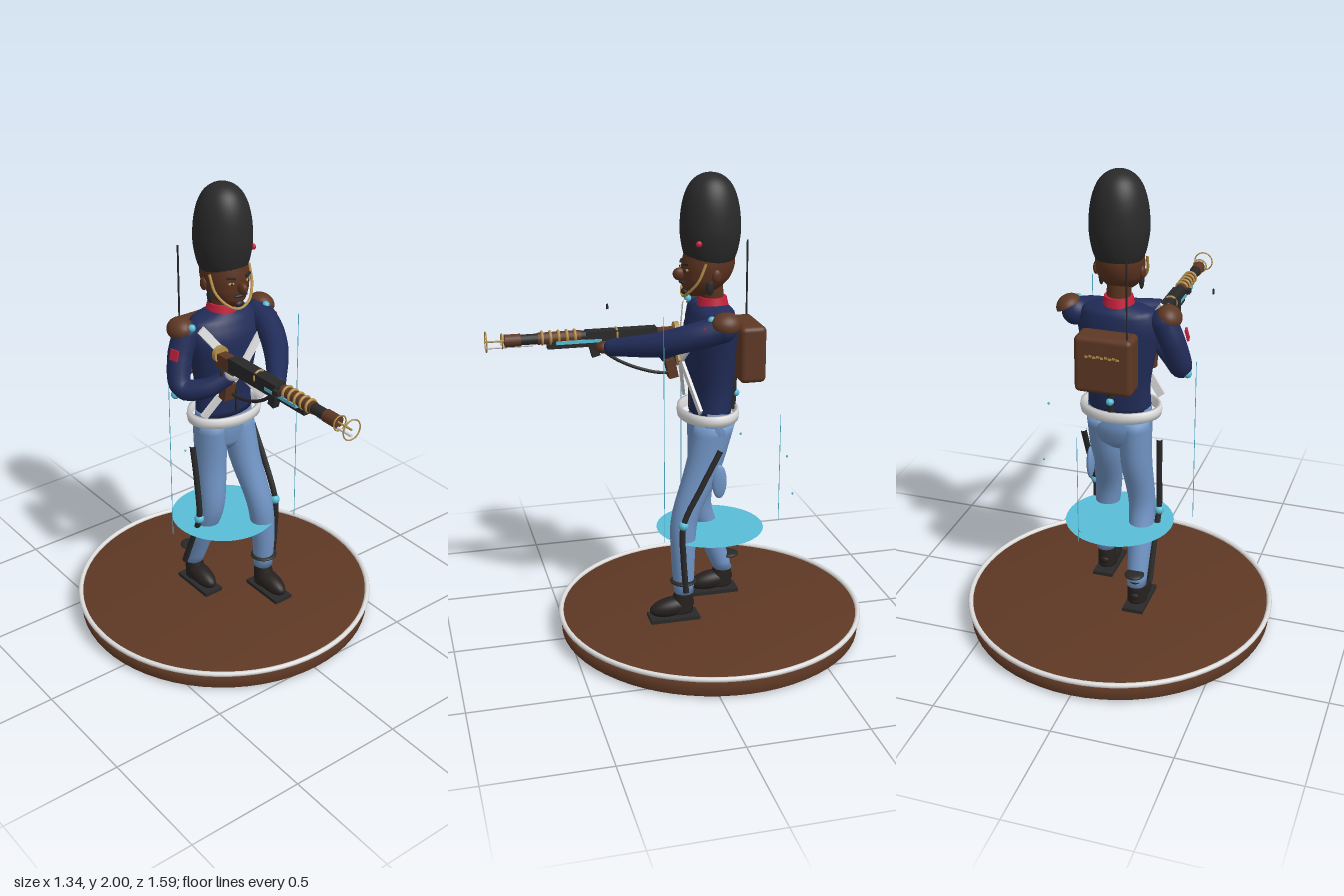
import * as THREE from 'three';
import { mergeVertices } from 'three/addons/utils/BufferGeometryUtils.js';
import { RoundedBoxGeometry } from 'three/addons/geometries/RoundedBoxGeometry.js';

const V = (p) => new THREE.Vector3(...p);

export function createModel() {
  const model = new THREE.Group();
  const mat = (name, color, side = THREE.FrontSide) => {
    const m = new THREE.MeshStandardMaterial({ color, side });
    m.name = name;
    return m;
  };
  const brown = mat('brown leather', 0x5e3824, THREE.DoubleSide);
  const skin = mat('skin', 0x5a321f);
  const black = mat('black', 0x292929);
  const dark = mat('dark boot', 0x26211f);
  const navy = mat('navy', 0x212c58);
  const blue = mat('trouser blue', 0x7094c4);
  const white = mat('white', 0xdedede);
  const red = mat('red', 0xc4203c);
  const gold = mat('gold', 0xb4914c);
  const cyan = mat('cyan', 0x58bdd8, THREE.DoubleSide);

  const add = (name, geo, material, pos = [0, 0, 0], rot = [0, 0, 0], scale = [1, 1, 1], parent = model) => {
    const m = new THREE.Mesh(geo, material);
    m.name = name;
    m.position.set(...pos);
    m.rotation.set(...rot);
    m.scale.set(...scale);
    parent.add(m);
    return m;
  };
  const box = (name, material, size, pos, rot) => add(name, new THREE.BoxGeometry(...size), material, pos, rot);
  const ball = (name, material, r, pos, rot) => add(name, new THREE.SphereGeometry(1, 24, 16), material, pos, rot, Array.isArray(r) ? r : [r, r, r]);
  const tube = (name, material, pts, r, n = 24) =>
    add(name, new THREE.TubeGeometry(new THREE.CatmullRomCurve3(pts.map(V)), n, r, 8), material);
  const rod = (name, material, a, b, r, sides = 12) => {
    const d = V(b).sub(V(a));
    const m = add(name, new THREE.CylinderGeometry(r, r, d.length(), sides), material);
    m.position.copy(V(a)).addScaledVector(d, 0.5);
    m.quaternion.setFromUnitVectors(V([0, 1, 0]), d.normalize());
    return m;
  };
  // flat strap segment lying against the chest
  const strap = (name, a, b) => {
    const m = box(name, white, [0.036, 0.012, V(a).distanceTo(V(b)) + 0.01], a);
    m.position.copy(V(a).lerp(V(b), 0.5));
    m.up.set(0, 0, 1);
    m.lookAt(V(b));
  };
  // upright body with rings [x, y, z, rx, rz], listed from top to bottom
  const loft = (name, material, rings) => {
    const centre = new THREE.CatmullRomCurve3(rings.map((r) => V([r[0], r[1], r[2]])));
    const radius = new THREE.CatmullRomCurve3(rings.map((r) => V([r[3], 0, r[4]])));
    let g = new THREE.CylinderGeometry(1, 1, 1, 24, 20);
    g.deleteAttribute('uv');
    g.deleteAttribute('normal');
    const p = g.attributes.position;
    for (let i = 0; i < p.count; i++) {
      const t = Math.min(1, Math.max(0, 0.5 - p.getY(i)));
      const c = centre.getPoint(t), r = radius.getPoint(t);
      p.setXYZ(i, c.x + p.getX(i) * r.x, c.y, c.z + p.getZ(i) * r.z);
    }
    g = mergeVertices(g, 1e-5);
    g.computeVertexNormals();
    return add(name, g, material);
  };
  // tapered sleeve through points [x, y, z, r]
  const sleeve = (name, material, pts) => {
    const curve = new THREE.CatmullRomCurve3(pts.map((p) => V(p.slice(0, 3))));
    const radius = new THREE.CatmullRomCurve3(pts.map((p) => V([p[3], 0, 0])));
    const n = 24, sides = 16;
    const g = new THREE.TubeGeometry(curve, n, 1, sides);
    const p = g.attributes.position, v = new THREE.Vector3();
    for (let i = 0; i < p.count; i++) {
      const t = Math.floor(i / (sides + 1)) / n;
      const c = curve.getPointAt(t);
      v.fromBufferAttribute(p, i).sub(c).multiplyScalar(radius.getPoint(curve.getUtoTmapping(t)).x).add(c);
      p.setXYZ(i, v.x, v.y, v.z);
    }
    add(name, g, material);
    for (const e of [pts[0], pts[pts.length - 1]]) ball(name + 'End', material, e[3], e.slice(0, 3));
  };

  // round stand with pale rim
  const stand = [[0, 0], [0.64, 0], [0.655, 0.012], [0.655, 0.083], [0, 0.083]].map((p) => new THREE.Vector2(...p));
  add('stand', new THREE.LatheGeometry(stand, 64), brown, [0, 0, -0.13]);
  add('standRim', new THREE.TorusGeometry(0.657, 0.011, 8, 72), white, [0, 0.085, -0.13], [Math.PI / 2, 0, 0]);
  add('energyDisc', new THREE.CircleGeometry(0.232, 48), cyan, [0, 0.465, -0.13], [-Math.PI / 2, 0, 0]);

  // legs: left steps forward, right trails behind
  loft('hips', blue, [[0, 1.02, -0.125, 0.135, 0.082], [0, 0.94, -0.13, 0.14, 0.09], [0, 0.86, -0.125, 0.115, 0.075], [0, 0.82, -0.12, 0.05, 0.04]]);
  loft('leftTrouser', blue, [[0.07, 0.96, -0.13, 0.068, 0.085], [0.075, 0.76, -0.075, 0.066, 0.078], [0.095, 0.55, 0.008, 0.057, 0.058], [0.108, 0.4, 0.018, 0.052, 0.052], [0.112, 0.22, 0.015, 0.042, 0.042]]);
  loft('rightTrouser', blue, [[-0.07, 0.96, -0.13, 0.068, 0.085], [-0.072, 0.76, -0.125, 0.066, 0.075], [-0.09, 0.55, -0.1, 0.057, 0.058], [-0.1, 0.4, -0.15, 0.052, 0.055], [-0.104, 0.21, -0.22, 0.042, 0.042]]);
  tube('leftLegBrace', black, [[0.16, 0.87, -0.13], [0.165, 0.72, -0.05], [0.165, 0.55, 0.03], [0.165, 0.4, 0.03], [0.163, 0.24, 0.018]], 0.013);
  tube('rightLegBrace', black, [[-0.17, 0.87, -0.12], [-0.165, 0.7, -0.1], [-0.163, 0.52, -0.09], [-0.16, 0.4, -0.14], [-0.16, 0.23, -0.21]], 0.013);
  ball('leftKneeJoint', cyan, 0.021, [0.164, 0.55, 0.03]);
  ball('rightKneeJoint', cyan, 0.021, [-0.163, 0.515, -0.09]);
  ball('sidePocket', blue, [0.015, 0.075, 0.032], [0.128, 0.72, -0.135]);
  for (const [side, x, z] of [['left', 0.11, 0.015], ['right', -0.104, -0.22]]) {
    loft(side + 'BootShaft', dark, [[x, 0.235, z, 0.036, 0.036], [x, 0.19, z + 0.005, 0.04, 0.045], [x, 0.13, z + 0.015, 0.042, 0.055]]);
    ball(side + 'Boot', dark, [0.044, 0.042, 0.1], [x, 0.155, z + 0.052], [0.15, 0, 0]);
    box(side + 'Sole', black, [0.09, 0.016, 0.215], [x, 0.107, z + 0.045]);
    ball(side + 'Garter', black, side === 'left' ? [0.06, 0.013, 0.057] : [0.042, 0.013, 0.042], [x + (side === 'left' ? 0.003 : 0), 0.273, side === 'left' ? 0.018 : -0.25]);
  }

  // coat and belt
  loft('coat', navy, [[0, 1.465, -0.135, 0.06, 0.055], [0, 1.435, -0.135, 0.15, 0.085], [0, 1.36, -0.125, 0.175, 0.105], [0, 1.25, -0.125, 0.152, 0.105], [0, 1.1, -0.13, 0.13, 0.09], [0, 1.0, -0.125, 0.135, 0.085]]);
  const belt = [[0.155, -0.022], [0.17, -0.022], [0.174, 0], [0.17, 0.022], [0.155, 0.022], [0.155, -0.022]].map((p) => new THREE.Vector2(...p));
  add('belt', new THREE.LatheGeometry(belt, 40), white, [-0.003, 0.998, -0.118], [0, 0, 0], [1, 1, 0.74]);
  box('coatSeam', black, [0.006, 0.2, 0.008], [0, 1.12, -0.036]);
  strap('crossStrap', [-0.16, 1.43, -0.055], [-0.02, 1.24, 0.0]);
  strap('crossStrap', [-0.02, 1.24, 0.0], [0.15, 1.045, -0.045]);
  strap('crossStrap', [0.13, 1.36, -0.03], [-0.01, 1.225, 0.002]);
  strap('crossStrap', [-0.01, 1.225, 0.002], [-0.155, 1.04, -0.05]);
  box('buckle', gold, [0.04, 0.04, 0.014], [-0.012, 1.23, 0.006], [0, 0, 0.8]);

  // arms, epaulettes and patches
  sleeve('leftSleeve', navy, [[0.185, 1.4, -0.125, 0.058], [0.16, 1.37, -0.02, 0.056], [0.1, 1.33, 0.1, 0.052], [-0.04, 1.29, 0.28, 0.036]]);
  sleeve('rightSleeve', navy, [[-0.185, 1.4, -0.13, 0.055], [-0.225, 1.3, -0.12, 0.052], [-0.245, 1.19, -0.08, 0.046], [-0.18, 1.2, 0.0, 0.042], [-0.11, 1.24, 0.04, 0.035]]);
  ball('leftHand', skin, [0.032, 0.026, 0.035], [-0.07, 1.285, 0.31]);
  ball('rightHand', white, [0.03, 0.03, 0.036], [-0.1, 1.27, 0.07]);
  for (const s of [-1, 1]) {
    add(s > 0 ? 'leftEpaulette' : 'rightEpaulette', new THREE.SphereGeometry(1, 24, 10, 0, Math.PI * 2, 0, Math.PI / 2), brown, [s * 0.21, 1.425, -0.135], [0, 0, -s * 0.5], [0.053, 0.045, 0.062]);
    ball('shoulderStud', cyan, 0.016, [s * 0.19, 1.44, -0.08]);
    ball('eye', gold, [0.013, 0.006, 0.005], [s * 0.042, 1.615, -0.012], [0, s * 0.4, 0]);
    ball('pupil', black, [0.005, 0.006, 0.004], [s * 0.042, 1.615, -0.008]);
    box('eyebrow', black, [0.035, 0.007, 0.009], [s * 0.042, 1.638, -0.012], [0, s * 0.4, s * 0.12]);
    ball('ear', skin, [0.012, 0.028, 0.02], [s * 0.096, 1.595, -0.125]);
    ball('sideburn', black, [0.01, 0.035, 0.016], [s * 0.084, 1.55, -0.1]);
  }
  box('leftSleevePatch', red, [0.009, 0.04, 0.04], [0.215, 1.395, -0.06], [0, -0.15, 0]);
  box('rightSleevePatch', red, [0.009, 0.045, 0.04], [-0.272, 1.34, -0.09], [0, 0.2, -0.25]);
  ball('elbowJoint', cyan, 0.018, [-0.275, 1.165, -0.085]);

  // head
  add('collar', new THREE.CylinderGeometry(0.058, 0.066, 0.036, 32), red, [0, 1.475, -0.135]);
  loft('neck', skin, [[0, 1.56, -0.125, 0.05, 0.05], [0, 1.47, -0.135, 0.048, 0.048]]);
  loft('head', skin, [[0, 1.7, -0.12, 0.09, 0.1], [0, 1.63, -0.115, 0.098, 0.11], [0, 1.575, -0.105, 0.092, 0.1], [0, 1.53, -0.085, 0.065, 0.075], [0, 1.5, -0.075, 0.025, 0.035]]);
  ball('nose', skin, [0.017, 0.026, 0.028], [0, 1.592, 0.006], [-0.3, 0, 0]);
  ball('moustache', black, [0.034, 0.008, 0.012], [0, 1.56, -0.005]);
  ball('chinBeard', black, [0.022, 0.014, 0.014], [0, 1.52, -0.015]);
  tube('chinStrap', gold, [[-0.1, 1.65, -0.08], [-0.092, 1.575, -0.05], [-0.05, 1.52, -0.015], [0, 1.5, -0.01], [0.05, 1.52, -0.015], [0.092, 1.575, -0.05], [0.1, 1.65, -0.08]], 0.006);
  const hat = [[0, 0], [0.092, 0], [0.107, 0.04], [0.118, 0.1], [0.12, 0.15], [0.114, 0.22], [0.099, 0.28], [0.074, 0.325], [0.038, 0.352], [0, 0.36]];
  const hatCurve = new THREE.SplineCurve(hat.slice(1).map((p) => new THREE.Vector2(...p)));
  add('furHat', new THREE.LatheGeometry([new THREE.Vector2(0, 0), ...hatCurve.getPoints(28)], 40), black, [0, 1.64, -0.123], [0, 0, 0], [1, 1, 1.04]);
  ball('cockade', red, [0.01, 0.013, 0.013], [0.098, 1.73, -0.05]);

  // backpack with aerial and hanging rod
  add('backpack', new RoundedBoxGeometry(0.24, 0.24, 0.112, 4, 0.022), brown, [0.005, 1.26, -0.28]);
  for (let i = 0; i < 9; i++) box('stitch', gold, [0.012, 0.008, 0.006], [-0.06 + i * 0.016, 1.3 + (i % 2) * 0.004, -0.337]);
  rod('aerial', black, [-0.09, 1.36, -0.31], [-0.09, 1.7, -0.31], 0.004, 8);
  rod('packRod', black, [0.005, 1.0, -0.225], [0.005, 1.15, -0.23], 0.013);
  ball('packRodJoint', cyan, 0.016, [0.005, 1.068, -0.238]);

  // rifle along z
  const gx = -0.105, gy = 1.33;
  rod('barrel', black, [gx, gy, 0.1], [gx, gy, 0.67], 0.022, 16);
  box('receiver', black, [0.052, 0.06, 0.3], [gx, gy - 0.01, 0.23]);
  box('rifleButt', brown, [0.045, 0.06, 0.12], [gx, gy - 0.02, 0.05]);
  box('rifleGrip', brown, [0.05, 0.08, 0.04], [-0.088, 1.17, 0.02], [0.2, 0, 0]);
  rod('buttPlate', gold, [gx, gy, -0.015], [gx, gy, 0.005], 0.035, 20);
  rod('muzzle', brown, [gx, gy, 0.65], [gx, gy, 0.715], 0.026, 20);
  rod('handguard', brown, [gx, gy, 0.4], [gx, gy, 0.58], 0.025, 16);
  for (let i = 0; i < 5; i++) {
    add('barrelBand', new THREE.TorusGeometry(0.025, 0.006, 8, 20), gold, [gx, gy + 0.002, 0.425 + i * 0.034]);
  }
  add('rearBand', new THREE.TorusGeometry(0.026, 0.005, 8, 20), gold, [gx, gy, 0.25]);
  box('powerStrip', cyan, [0.056, 0.014, 0.19], [gx, 1.312, 0.41]);
  box('magazine', black, [0.03, 0.06, 0.035], [gx, 1.27, 0.345], [0.25, 0, 0]);
  box('foreRail', black, [0.03, 0.02, 0.2], [gx, 1.295, 0.44]);
  box('cockingHandle', black, [0.02, 0.02, 0.03], [-0.14, 1.33, 0.4]);
  rod('ramrod', white, [gx, 1.305, 0.6], [gx, 1.305, 0.79], 0.006, 8);
  rod('muzzleNeedle', gold, [gx, gy, 0.71], [gx, gy, 0.79], 0.004, 8);
  add('muzzleRing', new THREE.TorusGeometry(0.041, 0.003, 6, 32), gold, [gx, gy, 0.79]);
  add('innerMuzzleRing', new THREE.TorusGeometry(0.03, 0.003, 6, 32), gold, [gx, gy, 0.725]);
  tube('sling', black, [[gx, 1.28, 0.33], [gx + 0.01, 1.22, 0.25], [gx + 0.02, 1.175, 0.15], [gx + 0.03, 1.155, 0.06], [gx + 0.03, 1.16, 0.0]], 0.007);

  // hanging filaments and drifting specks
  for (const [x, z, y0, y1] of [[-0.31, -0.08, 0.5, 1.22], [0.2, 0.12, 0.5, 1.47], [0.085, -0.415, 0.5, 0.98]]) {
    rod('filament', cyan, [x, y0, z], [x, y1, z], 0.0015, 6);
  }
  for (const p of [[0.05, 0.6, -0.49], [0.235, 0.85, -0.395], [0.295, 0.99, -0.175]]) ball('speck', cyan, 0.005, p);
  box('floatingChip', black, [0.008, 0.022, 0.008], [-0.29, 1.4, 0.25]);
  return model;
}
